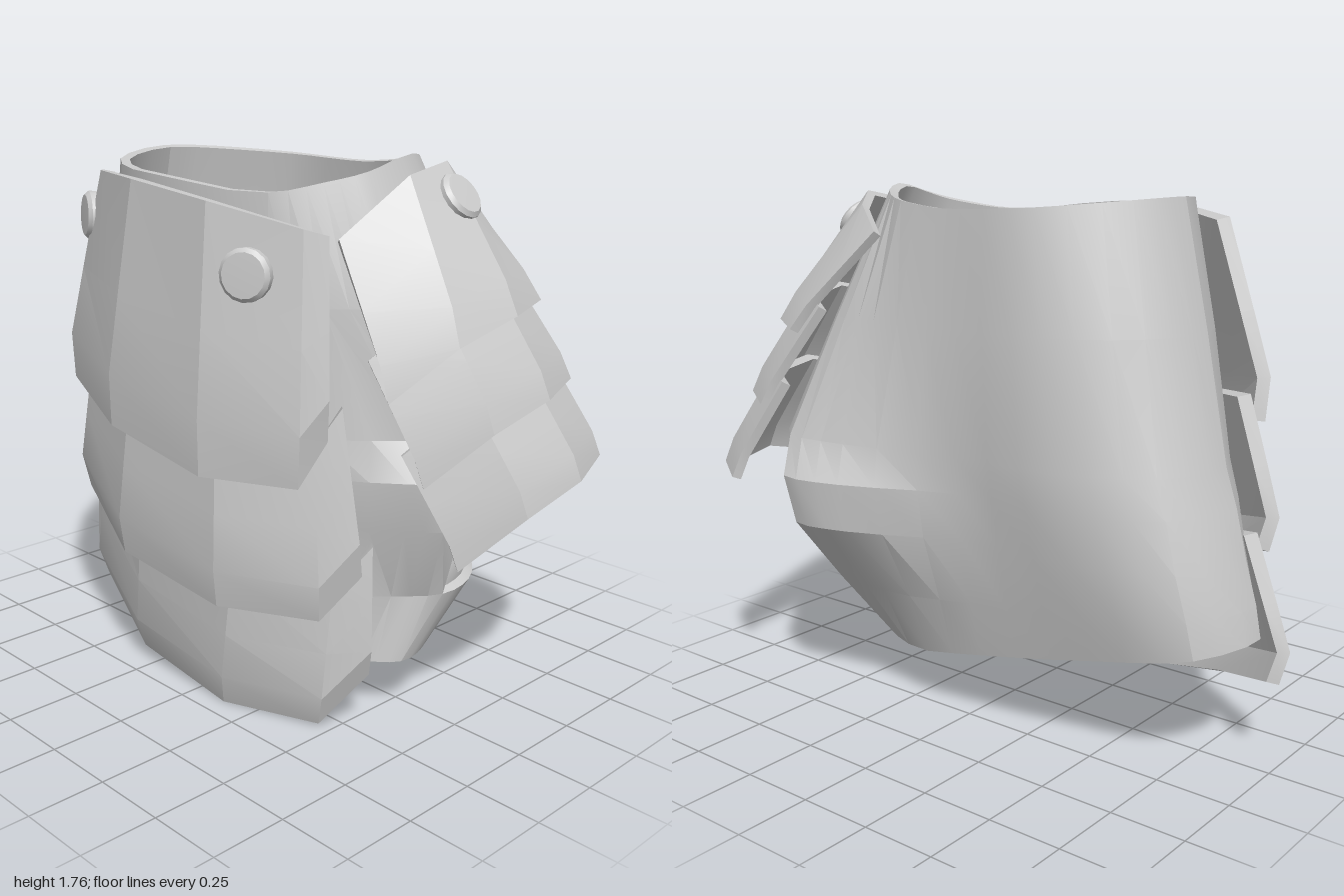
import * as THREE from 'three';
import { toCreasedNormals } from 'three/addons/utils/BufferGeometryUtils.js';

const material = new THREE.MeshStandardMaterial({ color: 0xcccccc, side: THREE.DoubleSide });
const V = (p) => new THREE.Vector3(...p);

// Gives an indexed sheet thickness: inner copy along the normals, plus walls on open edges
function thicken(points, index, t) {
  const sheet = new THREE.BufferGeometry().setFromPoints(points);
  sheet.setIndex(index);
  sheet.computeVertexNormals();
  const n = points.length, normal = sheet.attributes.normal;
  const inner = points.map((p, i) =>
    p.clone().addScaledVector(new THREE.Vector3().fromBufferAttribute(normal, i), -t));
  const all = [...index], edges = new Set();
  for (let i = 0; i < index.length; i += 3) {
    const [a, b, c] = index.slice(i, i + 3);
    all.push(a + n, c + n, b + n);
    for (const [u, v] of [[a, b], [b, c], [c, a]]) edges.add(u + '_' + v);
  }
  for (const e of edges) {
    const [u, v] = e.split('_').map(Number);
    if (!edges.has(v + '_' + u)) all.push(v, u, u + n, v, u + n, v + n);
  }
  const solid = new THREE.BufferGeometry().setFromPoints([...points, ...inner]);
  solid.setIndex(all);
  return toCreasedNormals(solid, 0.35);
}

// Quads between rows of points (top to bottom, left to right seen from outside)
function gridIndex(rows, cols, wrap, skip = () => false) {
  const index = [];
  for (let r = 0; r < rows - 1; r++)
    for (let c = 0; c < (wrap ? cols : cols - 1); c++) {
      if (skip(r, c)) continue;
      const a = r * cols + c, d = r * cols + (c + 1) % cols;
      index.push(a, a + cols, d + cols, a, d + cols, d);
    }
  return index;
}

function addMesh(parent, name, geometry) {
  const m = new THREE.Mesh(geometry, material);
  m.name = name;
  parent.add(m);
  return m;
}

// Body levels: height, side x, front z, back z, then x, z of the arm's front and rear edges
const levels = [
  [1.75, -.63, .5, -.37, .5, .17, .34, -.23],
  [1.35, -.72, .5, -.4, .62, .16, .44, -.39],
  [.95, -.8, .46, -.4, .76, -.06, .58, -.49],
  [.83, -.84, .44, -.39, .79, .02, .53, -.57],
  [.67, -.88, .4, -.37, .76, .02, .5, -.55],
  [.42, -.92, .37, -.33, .66, -.03, .51, -.34],
  [.2, -.94, .35, -.29, .59, .08, .47, -.16],
];

// One cross-section: rear arm edge, back, side, front, front arm edge, middle of the arm
function ring([y, side, front, back, fx, fz, bx, bz]) {
  const armWidth = Math.hypot(fx - bx, fz - bz);
  return [
    [bx, bz], [bx * .57, Math.min(back * .9, back * .3 + bz * .75)], [-.08, back],
    [side * .55, back * .95], [side * .9, back * (.8 - .2 * y)], [side, .02],
    [side * .7, front * .7], [-.08, front],
    [.34, front * .83], [fx * .85, fz + (front - fz) * .33], [fx, fz],
    [(fx + bx) / 2 + armWidth * .16, (fz + bz) / 2],
  ].map(([x, z]) => V([x, y, z]));
}

function bodyShell() {
  const step = 3, cols = 12 * step, armStart = 10 * step;
  const points = levels.flatMap((level, r) => {
    const loop = new THREE.CatmullRomCurve3(ring(level), true).getPoints(cols).slice(0, cols);
    for (const p of loop) {
      const right = Math.max(0, p.x);
      // neckline dips at the front left, and the hem rises towards the right side
      if (r === 0) p.y = 1.71 + .1 * p.x * p.x + right * (.08 - .5 * Math.max(0, p.z));
      else p.y += .45 * Math.max(0, .65 - p.y) * Math.max(0, .2 - p.x);
    }
    return loop;
  });
  // the arm opening lies between levels 2 and 5
  const hole = (r, c) => c >= armStart && r >= 2 && r < 5;
  return thicken(points, gridIndex(levels.length, cols, true, hole), 0.03);
}

// Plate from its top and bottom edges, swelling outwards above the hem
function plate(top, hem, swell, thickness) {
  const row = (t, amount) => top.map((p, i) => p.clone().lerp(hem[i], t)
    .addScaledVector(V([swell.x * hem[i].x, swell.y, swell.z]), amount));
  const points = [...row(0, 0), ...row(.45, .6), ...row(.78, 1), ...row(1, 0)];
  return thicken(points, gridIndex(4, top.length, false), thickness);
}

// Overlapping plates: each one starts tucked just under the hem of the plate above
function addPlates(parent, name, firstTop, hems, { overlap, tuck, swell, thickness }) {
  let top = firstTop;
  hems.forEach((hem, i) => {
    addMesh(parent, name + (i + 1), plate(top, hem, swell, thickness));
    top = hem.map((p, j) => p.clone().lerp(top[j], overlap).add(tuck));
  });
}

const frontTop = [[-.63, 1.68, .29], [-.4, 1.7, .46], [-.08, 1.7, .58], [.25, 1.66, .57], [.5, 1.59, .43], [.54, 1.57, .37]].map(V);
const frontHems = [
  [[-.8, 1.05, .26], [-.55, 1, .49], [-.17, .93, .62], [.23, .85, .6], [.5, .84, .45], [.55, .98, .38]],
  [[-.88, .66, .17], [-.62, .57, .4], [-.22, .47, .55], [.22, .41, .53], [.52, .41, .38], [.6, .55, .28]],
  [[-.98, .27, .08], [-.7, .17, .28], [-.3, .06, .42], [.13, .01, .43], [.46, .02, .32], [.58, .2, .22]],
].map((hem) => hem.map(V));

// Shoulder hems repeat one edge, each lower and further out
const shoulderTop = [[.5, 1.55, .29], [.56, 1.72, .06], [.54, 1.75, -.13], [.43, 1.71, -.27], [.3, 1.63, -.35]].map(V);
const shoulderHem = [[.69, 1.1, .28], [.82, 1.26, .13], [.83, 1.32, -.12], [.72, 1.32, -.39], [.55, 1.31, -.5]].map(V);
const shoulderHems = [0, 1, 2].map((i) =>
  shoulderHem.map((p) => p.clone().addScaledVector(V([.08, -.25, -.07]), i)));

// Rivet: a domed head outside and a matching one inside the shell
function rivet(name, position, normal) {
  const g = new THREE.Group();
  g.name = name;
  const profile = [[0, -.02], [.078, -.02], [.078, .008], [.066, .02], [0, .022]]
    .map(([x, y]) => new THREE.Vector2(x, y));
  const head = toCreasedNormals(new THREE.LatheGeometry(profile, 16), 0.5);
  addMesh(g, 'outerHead', head);
  const inside = addMesh(g, 'innerHead', head);
  inside.position.y = -.16;
  inside.rotation.x = Math.PI;
  g.position.set(...position);
  g.quaternion.setFromUnitVectors(new THREE.Vector3(0, 1, 0), V(normal).normalize());
  return g;
}

export function createModel() {
  const model = new THREE.Group();
  model.name = 'shoulderArmour';
  addMesh(model, 'bodyShell', bodyShell());
  addPlates(model, 'frontPlate', frontTop, frontHems,
    { overlap: .15, tuck: V([0, 0, -.06]), swell: V([.045, 0, .02]), thickness: .045 });
  addPlates(model, 'shoulderPlate', shoulderTop, shoulderHems,
    { overlap: .3, tuck: V([-.02, -.02, 0]), swell: V([.015, .008, 0]), thickness: .03 });
  model.add(
    rivet('frontRivetRight', [-.48, 1.55, .45], [-.4, .05, .9]),
    rivet('frontRivetLeft', [.37, 1.46, .53], [.45, .05, .9]),
    rivet('shoulderRivet', [.61, 1.65, -.11], [.8, .6, -.1]),
  );
  return model;
}
